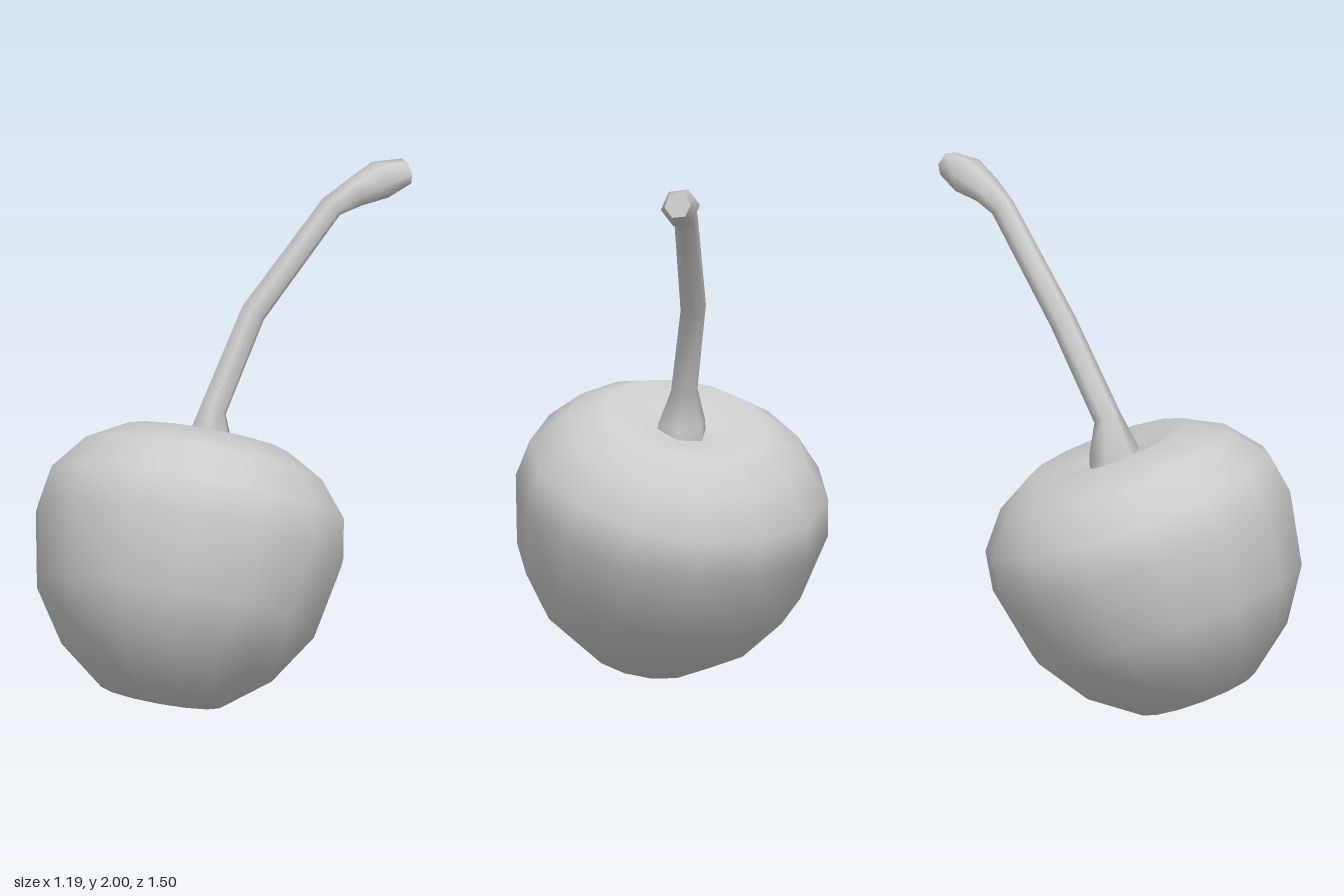
import * as THREE from 'three';

const material = new THREE.MeshStandardMaterial({ color: 0xcccccc });

// Sweep a ring of `sides` vertices along stations [x, y, z, radius], closing both ends
function sweep(stations, sides) {
  const centres = stations.map(s => new THREE.Vector3(s[0], s[1], s[2]));
  const last = centres.length - 1;
  const pos = [], idx = [];
  const addRing = i => {
    const t = centres[Math.min(i + 1, last)].clone().sub(centres[Math.max(i - 1, 0)]).normalize();
    const a = new THREE.Vector3(1, 0, 0).addScaledVector(t, -t.x).normalize();
    const b = new THREE.Vector3().crossVectors(t, a);
    const start = pos.length / 3;
    for (let k = 0; k < sides; k++) {
      const ang = (k / sides) * Math.PI * 2;
      const p = centres[i].clone()
        .addScaledVector(a, Math.cos(ang) * stations[i][3])
        .addScaledVector(b, Math.sin(ang) * stations[i][3]);
      pos.push(p.x, p.y, p.z);
    }
    return start;
  };
  const rings = stations.map((_, i) => addRing(i));
  for (let i = 0; i < last; i++) {
    for (let k = 0; k < sides; k++) {
      const n = (k + 1) % sides;
      const a = rings[i] + k, b = rings[i] + n, c = rings[i + 1] + n, d = rings[i + 1] + k;
      idx.push(a, b, c, a, c, d);
    }
  }
  // End caps use their own vertices so the rim stays sharp
  const bottom = addRing(0), top = addRing(last);
  for (let k = 1; k < sides - 1; k++) {
    idx.push(bottom, bottom + k + 1, bottom + k, top, top + k, top + k + 1);
  }
  const geo = new THREE.BufferGeometry();
  geo.setAttribute('position', new THREE.Float32BufferAttribute(pos, 3));
  geo.setIndex(idx);
  geo.computeVertexNormals();
  return geo;
}

export function createModel() {
  const group = new THREE.Group();
  group.name = 'cherry';

  // Fruit: coarse turned profile with a shallow dimple at the top, leaning back
  const profile = [
    [0, -0.545], [0.23, -0.515], [0.41, -0.375], [0.54, -0.18],
    [0.595, 0.1], [0.57, 0.25], [0.46, 0.385], [0.31, 0.47], [0.13, 0.43], [0, 0.41],
  ].map(([r, y]) => new THREE.Vector2(r, y));
  const sides = 14;
  const fruit = new THREE.Mesh(new THREE.LatheGeometry(profile, sides, Math.PI / sides), material);
  fruit.name = 'fruit';
  fruit.position.set(0, 0.555, 0.19);
  fruit.rotation.set(-0.35, 0, 0.05);
  group.add(fruit);

  // Stem: flared foot, thin curved stalk, swollen tip
  const stem = new THREE.Mesh(sweep([
    [0, 0.9, 0.055, 0.1],
    [0, 0.985, 0.045, 0.095],
    [0, 1.11, 0.02, 0.053],
    [0.04, 1.455, -0.168, 0.05],
    [0.185, 1.835, -0.455, 0.046],
    [0.235, 1.885, -0.535, 0.056],
    [0.28, 1.925, -0.63, 0.074],
    [0.33, 1.95, -0.725, 0.05],
  ], 6), material);
  stem.name = 'stem';
  group.add(stem);

  return group;
}
